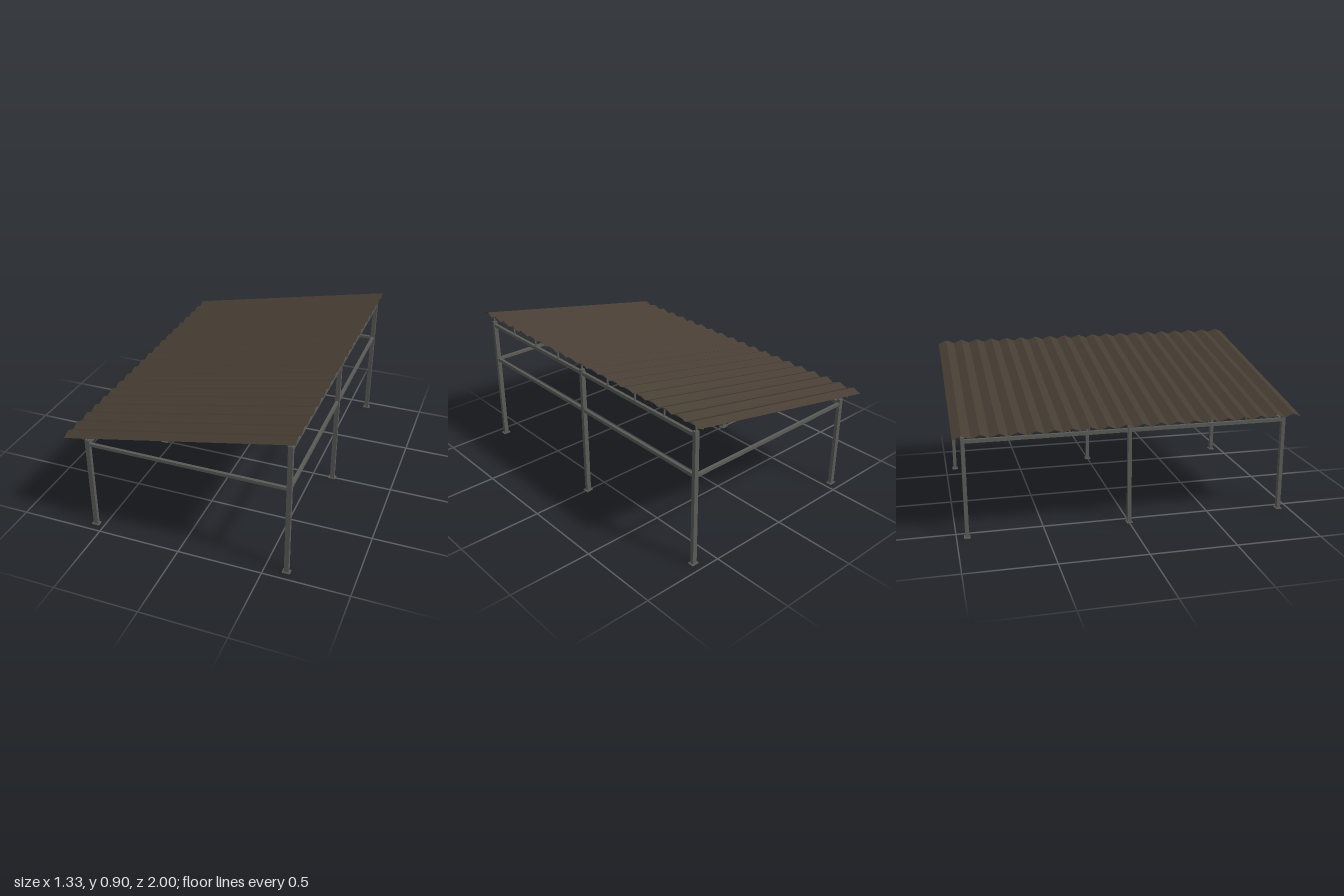
import * as THREE from 'three';

export function createModel() {
  const model = new THREE.Group();
  model.name = 'shelter';
  const steel = new THREE.MeshStandardMaterial({ color: 0x5a5b57 });
  steel.name = 'grey steel';
  const sheet = new THREE.MeshStandardMaterial({ color: 0x463c32, side: THREE.DoubleSide, flatShading: true });
  sheet.name = 'brown roofing';

  const LOW = -0.553, HIGH = 0.625, END = 0.94;
  const slope = 0.199;
  const underside = (x) => 0.742 + slope * x; // height of the sheet's valleys

  function box(name, w, h, d, x, y, z) {
    const mesh = new THREE.Mesh(new THREE.BoxGeometry(w, h, d), steel);
    mesh.name = name;
    mesh.position.set(x, y, z);
    model.add(mesh);
    return mesh;
  }

  // Corrugated sheet: a zigzag across z, tilted along x
  const ridges = 20, steps = ridges * 2;
  const roof = new THREE.PlaneGeometry(1.33, 2, 1, steps);
  roof.rotateX(-Math.PI / 2);
  const p = roof.attributes.position;
  for (let i = 0; i < p.count; i++) {
    const row = Math.round((p.getZ(i) + 1) * ridges);
    p.setY(i, underside(p.getX(i)) + (row % 2 ? 0.021 : 0));
  }
  roof.computeVertexNormals();
  const roofMesh = new THREE.Mesh(roof, sheet);
  roofMesh.name = 'corrugatedRoof';
  model.add(roofMesh);

  // Posts on base plates
  for (const [x, top] of [[LOW, 0.59], [HIGH, 0.825]]) {
    for (const z of [-END, 0, END]) {
      box('post', 0.027, top, 0.022, x, top / 2, z);
      box('basePlate', 0.046, 0.005, 0.036, x, 0.0025, z);
    }
  }

  // Long rails between the posts
  box('lowRail', 0.018, 0.02, END * 2, LOW, 0.565, 0);
  box('middleRail', 0.018, 0.02, END * 2, HIGH, 0.56, 0);
  box('highRail', 0.018, 0.02, END * 2, HIGH, 0.8, 0);

  // Cross ties at both ends
  for (const z of [-END, END]) box('crossTie', HIGH - LOW, 0.018, 0.018, (LOW + HIGH) / 2, 0.56, z);

  // Rafters with a short stub at each end
  const mid = (LOW + HIGH) / 2;
  for (let i = -4; i <= 4; i++) {
    const z = i * END / 4;
    const rafter = box('rafter', (HIGH - LOW) * Math.hypot(1, slope), 0.009, 0.008, mid, underside(mid) - 0.009, z);
    rafter.rotation.z = Math.atan(slope);
    for (const [x, base] of [[LOW, 0.57], [HIGH, 0.805]]) {
      const top = underside(x) - 0.008;
      box('rafterStub', 0.01, top - base, 0.006, x, (top + base) / 2, z);
    }
  }

  // Eave purlins just under the sheet
  for (const x of [LOW, HIGH]) box('eavePurlin', 0.012, 0.009, 1.98, x, underside(x) - 0.007, 0);

  return model;
}
